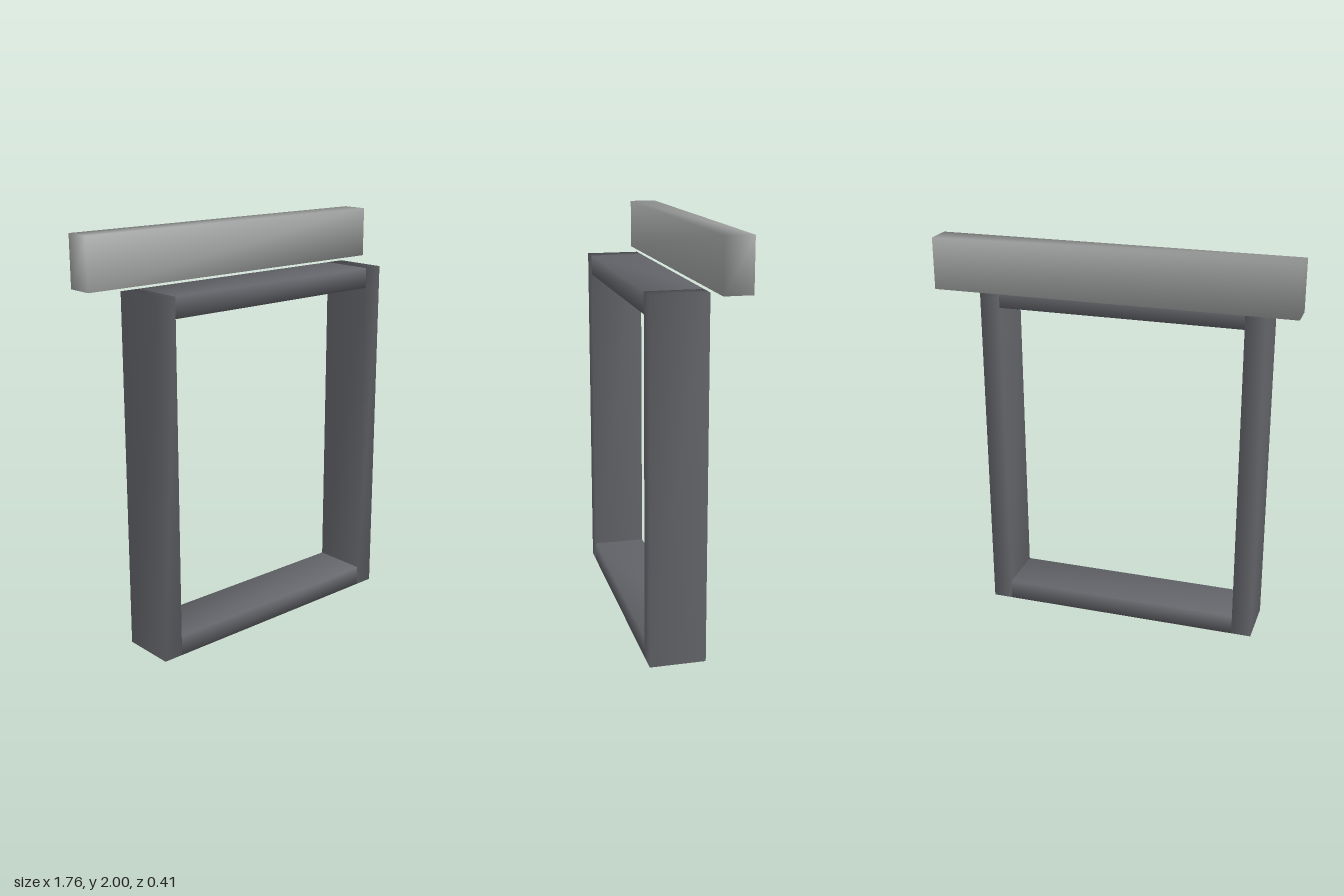
import * as THREE from 'three';
import { mergeVertices } from 'three/addons/utils/BufferGeometryUtils.js';

const frameMaterial = new THREE.MeshStandardMaterial({ color: 0x626368 });
const lintelMaterial = new THREE.MeshStandardMaterial({ color: 0xa0a2a2 });

// Box given by its min and max corners, with shared vertices for soft shading
function beam(name, [x0, y0, z0], [x1, y1, z1], material) {
  let geometry = new THREE.BoxGeometry(x1 - x0, y1 - y0, z1 - z0);
  geometry.deleteAttribute('normal');
  geometry.deleteAttribute('uv');
  geometry = mergeVertices(geometry);
  geometry.computeVertexNormals();
  const mesh = new THREE.Mesh(geometry, material);
  mesh.name = name;
  mesh.position.set((x0 + x1) / 2, (y0 + y1) / 2, (z0 + z1) / 2);
  return mesh;
}

export function createModel() {
  const model = new THREE.Group();
  model.name = 'windowFrame';

  const inner = 0.61, outer = 0.71, height = 1.74, thick = 0.1;
  const back = -0.065, front = 0.205;

  // Rectangular frame: two full-height posts with rails between them
  const frame = new THREE.Group();
  frame.name = 'frame';
  frame.add(
    beam('leftPost', [inner, 0, back], [outer, height, front], frameMaterial),
    beam('rightPost', [-outer, 0, back], [-inner, height, front], frameMaterial),
    beam('bottomRail', [-inner, 0, back], [inner, thick, front], frameMaterial),
    beam('topRail', [-inner, height - thick, back], [inner, height, front], frameMaterial)
  );

  // Wide lintel set above and behind the frame
  const lintel = beam('lintel', [-0.88, 1.75, -0.205], [0.88, 2, -0.07], lintelMaterial);

  model.add(frame, lintel);
  return model;
}
